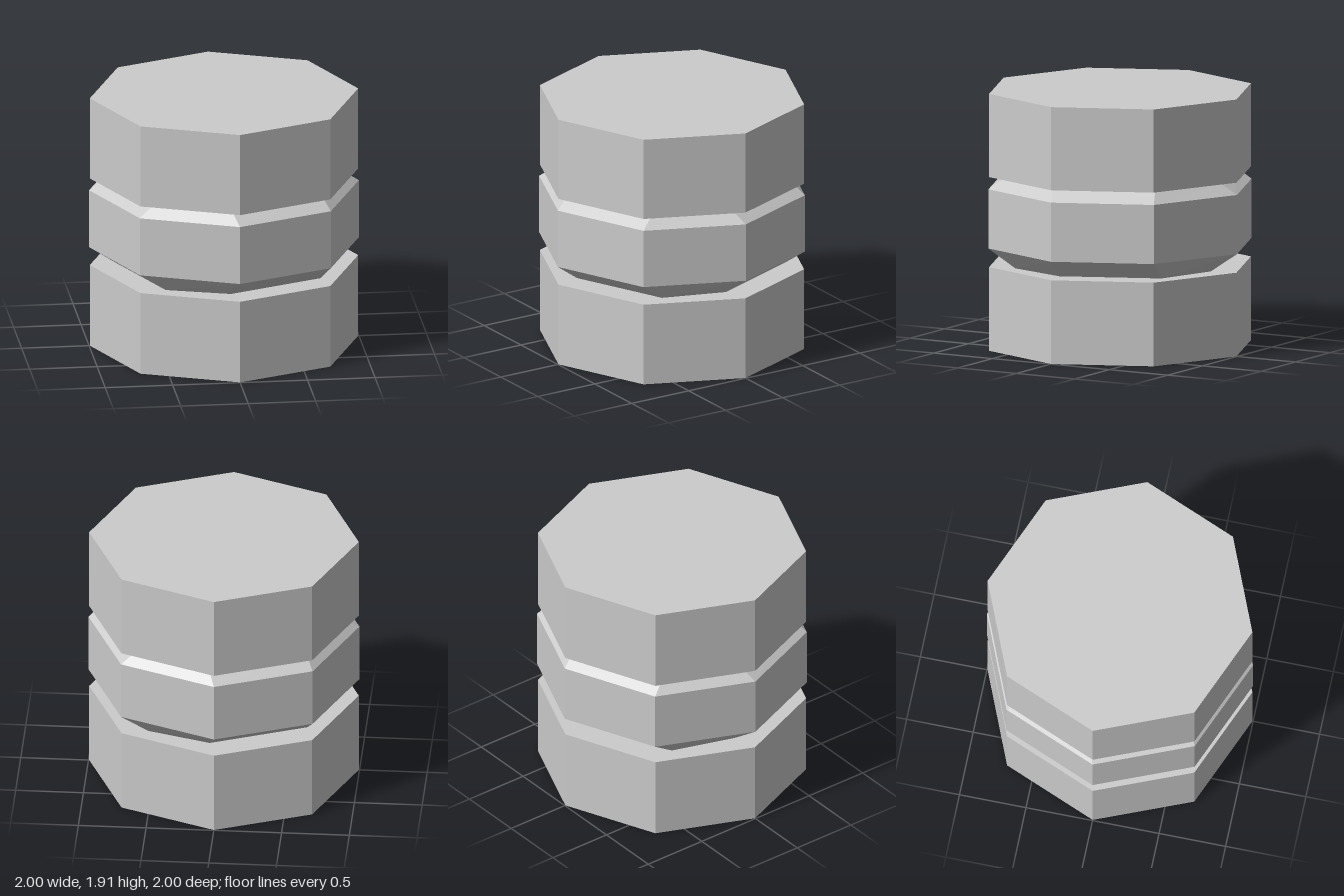
import * as THREE from 'three';

const SIDES = 8;
const RADIUS = 0.995;
const material = new THREE.MeshStandardMaterial({ color: 0xcccccc, flatShading: true });

// Octagonal drum standing between two heights, with a corner facing front
function drum(name, bottom, top) {
  const geometry = new THREE.CylinderGeometry(RADIUS, RADIUS, top - bottom, SIDES);
  geometry.translate(0, (top + bottom) / 2, 0);
  const mesh = new THREE.Mesh(geometry, material);
  mesh.name = name;
  return mesh;
}

// Middle band: rings from top to bottom, each with the [x, z] of its front
// corner and of the next diagonal corner, repeated every quarter turn
function band() {
  const full = [[0, 1], [Math.SQRT1_2, Math.SQRT1_2]];
  const rings = [
    { y: 1.295, corners: [[-0.048, 0.877], [0.653, 0.594]] },
    { y: 1.204, corners: full },
    { y: 0.763, corners: full },
    { y: 0.624, corners: [[-0.045, 0.803], [0.653, 0.51]] },
  ];
  const geometry = new THREE.CylinderGeometry(1, 1, 1, SIDES, rings.length - 1, true);
  const position = geometry.attributes.position;
  rings.forEach(({ y, corners }, row) => {
    for (let i = 0; i <= SIDES; i++) {
      const [x, z] = corners[i % 2];
      const turn = Math.floor(i / 2) * Math.PI / 2;
      const c = Math.cos(turn), s = Math.sin(turn);
      position.setXYZ(row * (SIDES + 1) + i, x * c + z * s, y, z * c - x * s);
    }
  });
  geometry.computeVertexNormals();
  const mesh = new THREE.Mesh(geometry, material);
  mesh.name = 'middleBand';
  return mesh;
}

export function createModel() {
  const group = new THREE.Group();
  group.name = 'bandedDrum';
  group.add(drum('lowerDrum', 0, 0.624), band(), drum('upperDrum', 1.295, 1.915));
  return group;
}
